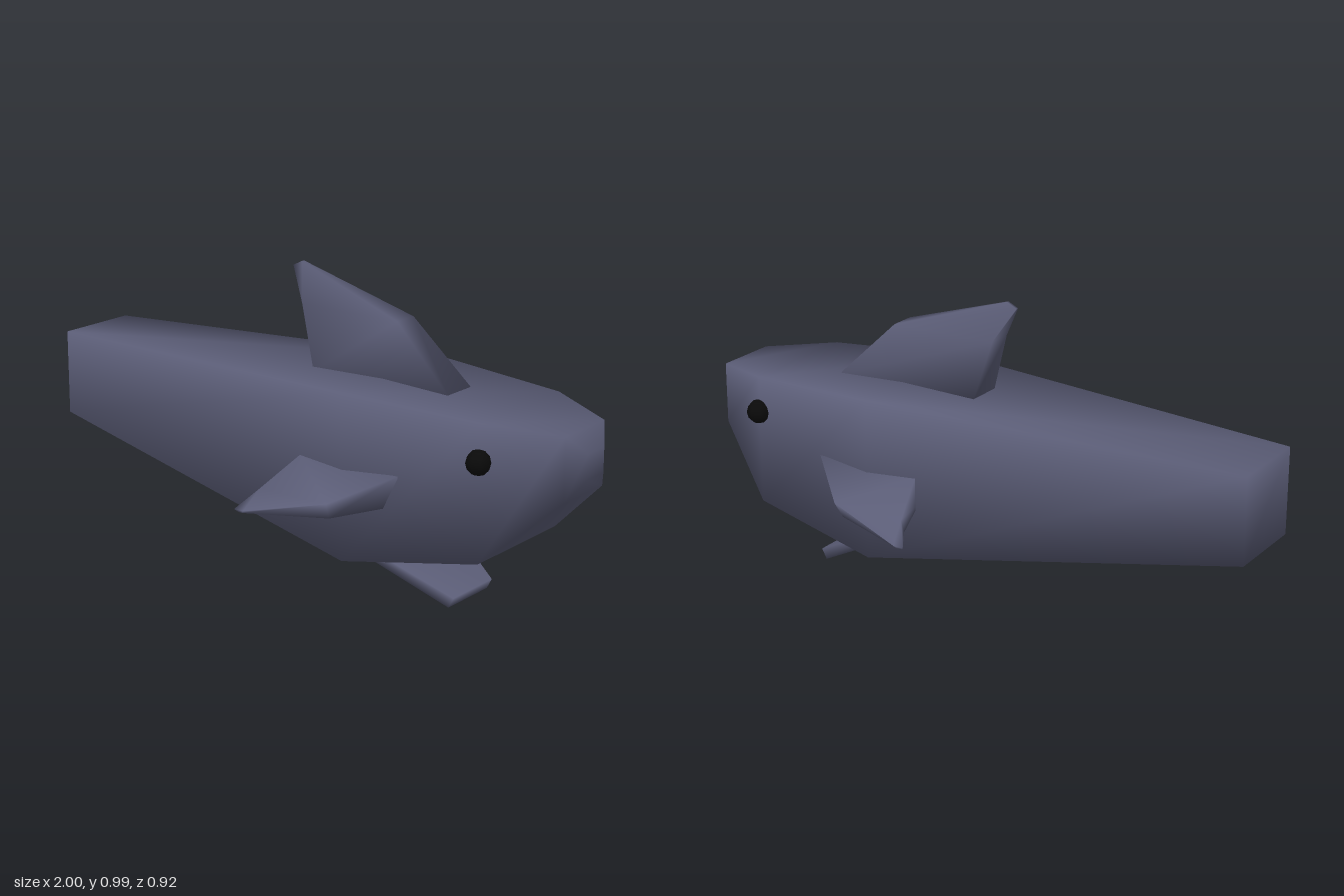
import * as THREE from 'three';

const skin = new THREE.MeshStandardMaterial({ color: 0x5c5e78 });
const black = new THREE.MeshStandardMaterial({ color: 0x0a0a0a });

// Closed, smooth-shaded skin over a row of four-cornered sections
function loft(name, sections) {
  const points = sections.flat().map((p) => new THREE.Vector3(...p));
  const tris = [];
  const quad = (a, b, c, d) => tris.push([a, b, c], [a, c, d]);
  for (let s = 0; s < sections.length - 1; s++) {
    for (let i = 0; i < 4; i++) {
      const a = s * 4 + i, b = s * 4 + (i + 1) % 4;
      quad(a, b, b + 4, a + 4);
    }
  }
  const e = points.length - 4;
  quad(3, 2, 1, 0);
  quad(e, e + 1, e + 2, e + 3);

  // Turn the faces outward if the enclosed volume is negative
  const cross = new THREE.Vector3();
  let volume = 0;
  for (const [a, b, c] of tris) volume += points[a].dot(cross.crossVectors(points[b], points[c]));
  if (volume < 0) tris.forEach((t) => t.reverse());

  const geometry = new THREE.BufferGeometry().setFromPoints(points);
  geometry.setIndex(tris.flat());
  geometry.computeVertexNormals();
  const mesh = new THREE.Mesh(geometry, skin);
  mesh.name = name;
  return mesh;
}

// Upright rectangle across the body
const ring = (x, y0, y1, w) => [[x, y0, w], [x, y1, w], [x, y1, -w], [x, y0, -w]];

// Two edge points in profile, widened by w to both sides
const strip = ([x0, y0], [x1, y1], w) => [[x0, y0, w], [x1, y1, w], [x1, y1, -w], [x0, y0, -w]];

export function createModel() {
  const model = new THREE.Group();
  model.name = 'seaAnimal';

  // Body from tail end to snout
  model.add(loft('body', [
    ring(-1, 0.36, 0.645, 0.145),
    ring(0.27, 0.135, 0.673, 0.27),
    ring(0.735, 0.213, 0.65, 0.217),
    ring(0.96, 0.42, 0.625, 0.11),
    ring(1, 0.485, 0.565, 0.045),
  ]));

  // Swept-back fin on the back
  model.add(loft('dorsalFin', [
    strip([0, 0.655], [0.52, 0.655], 0.063),
    strip([-0.06, 0.86], [0.31, 0.857], 0.043),
    strip([-0.125, 0.97], [-0.09, 0.987], 0.005),
  ]));

  // Plate under the belly, narrowing forward and down
  model.add(loft('bellyFin', [
    strip([0.285, 0.155], [0.32, 0.175], 0.21),
    strip([0.56, 0.0], [0.578, 0.034], 0.107),
  ]));

  for (const side of [1, -1]) {
    // Side fin: each section runs from its back edge to its front edge
    const section = (xb, xf, yTop, zTop, yLow, zLow) => [
      [xb, yTop, side * zTop], [xf, yTop, side * zTop],
      [xf - 0.01, yLow, side * zLow], [xb + 0.01, yLow, side * zLow],
    ];
    model.add(loft(side > 0 ? 'sideFinFront' : 'sideFinBack', [
      section(0.095, 0.465, 0.442, 0.25, 0.34, 0.215),
      section(0.05, 0.305, 0.36, 0.395, 0.305, 0.365),
      section(0, 0.035, 0.3, 0.46, 0.29, 0.452),
    ]));

    // Eye
    const eye = new THREE.Mesh(new THREE.SphereGeometry(0.04, 8, 6), black);
    eye.name = side > 0 ? 'eyeFront' : 'eyeBack';
    eye.position.set(0.735, 0.532, side * 0.222);
    model.add(eye);
  }

  return model;
}
